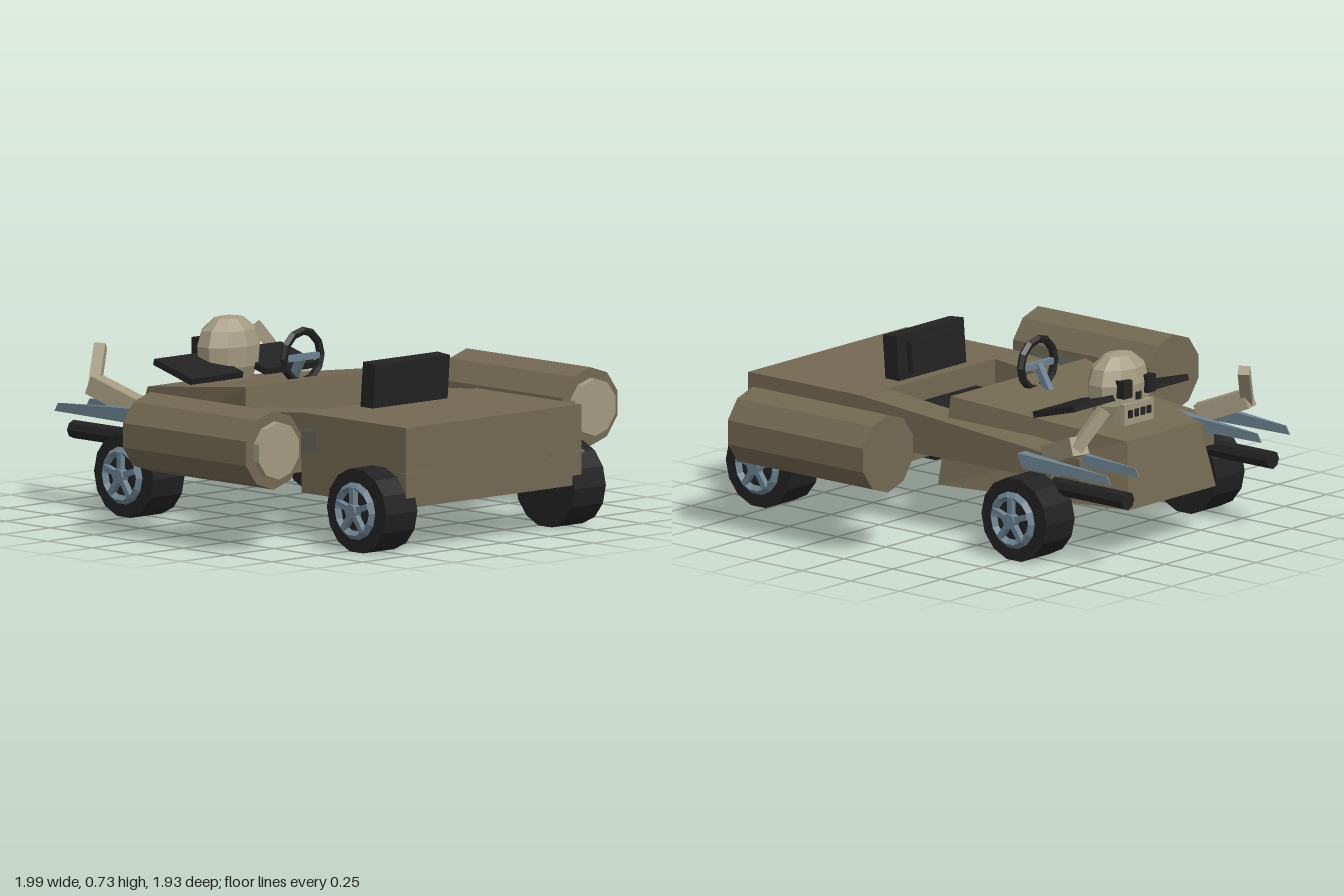
import * as THREE from 'three';

const mat = (name, color) => {
  const m = new THREE.MeshStandardMaterial({ color });
  m.name = name;
  return m;
};

export function createModel() {
  const root = new THREE.Group();
  root.name = 'kart';
  const body = mat('khaki', 0x736952);
  const bone = mat('bone', 0xa39a80);
  const black = mat('black', 0x222222);
  const steel = mat('blue steel', 0x6b8290);
  const olive = mat('dark olive', 0x4b4c42);

  // Faceted mesh
  const add = (name, geo, material, pos = [0, 0, 0], parent = root) => {
    const g = geo.index ? geo.toNonIndexed() : geo;
    g.computeVertexNormals();
    const m = new THREE.Mesh(g, material);
    m.name = name;
    m.position.set(...pos);
    parent.add(m);
    return m;
  };
  // Box given by its limits
  const block = (name, material, x0, x1, y0, y1, z0, z1, parent = root) =>
    add(name, new THREE.BoxGeometry(x1 - x0, y1 - y0, z1 - z0), material,
      [(x0 + x1) / 2, (y0 + y1) / 2, (z0 + z1) / 2], parent);
  // Box whose corners are placed by a rule of (right, top, front)
  const hexa = (name, material, rule) => {
    const g = new THREE.BoxGeometry(1, 1, 1), p = g.attributes.position;
    for (let i = 0; i < p.count; i++)
      p.setXYZ(i, ...rule(p.getX(i) > 0, p.getY(i) > 0, p.getZ(i) > 0));
    return add(name, g, material);
  };
  // Square bar between two points
  const strut = (name, material, a, b, w, h = w) => {
    const A = new THREE.Vector3(...a), B = new THREE.Vector3(...b);
    const m = add(name, new THREE.BoxGeometry(w, h, A.distanceTo(B)), material);
    m.position.copy(A).add(B).multiplyScalar(0.5);
    m.lookAt(B);
    return m;
  };
  const cylZ = (r, len, n) => new THREE.CylinderGeometry(r, r, len, n).rotateX(Math.PI / 2);

  // Rear engine body and tapering nose hull
  block('rearBody', body, -0.47, 0.47, 0.18, 0.495, 0.36, 0.95);
  hexa('noseHull', body, (r, t, f) => {
    const half = t ? (f ? 0.4 : 0.215) : (f ? 0.43 : 0.26);
    const y = t ? (f ? 0.545 : 0.45) : 0.19;
    const z = f ? (t ? -0.03 : 0.01) : (t ? -0.775 : -0.82);
    return [r ? half : -half, y, z];
  });

  // Seat
  block('seat', black, -0.2, 0.2, 0.32, 0.41, 0.05, 0.37);
  const back = block('seatBack', black, -0.2, 0.2, 0.48, 0.67, 0.415, 0.485);
  back.rotation.x = 0.08;
  const pad = block('seatPad', black, -0.145, 0.145, 0.52, 0.645, 0.39, 0.42);
  pad.rotation.x = 0.08;

  // Steering wheel
  add('steeringRing', new THREE.TorusGeometry(0.1, 0.017, 5, 12), black, [0, 0.615, -0.13]);
  block('steeringBar', steel, -0.09, 0.09, 0.6, 0.625, -0.14, -0.12);
  strut('steeringColumn', steel, [0, 0.615, -0.13], [0, 0.5, -0.2], 0.028);

  // Skull on the nose
  const profile = [[0, 0.47], [0.075, 0.48], [0.1, 0.54], [0.105, 0.62], [0.09, 0.68], [0.048, 0.725], [0, 0.735]];
  const skull = add('skull', new THREE.LatheGeometry(
    profile.map(([r, y]) => new THREE.Vector2(r, y)), 10).scale(1.38, 1, 1), bone, [0, 0, -0.545]);
  skull.name = 'skull';
  block('jaw', bone, -0.085, 0.085, 0.46, 0.55, -0.65, -0.56);
  for (let i = 0; i < 4; i++) {
    const x = -0.054 + i * 0.036;
    block('toothGap', black, x - 0.01, x + 0.01, 0.495, 0.525, -0.658, -0.64);
  }
  block('noseHole', black, -0.014, 0.014, 0.56, 0.59, -0.652, -0.62);

  for (const s of [-1, 1]) {
    const side = (a, b) => (s > 0 ? [a, b] : [-b, -a]);

    // Side rail, sloping down toward the nose
    hexa('sideRail', body, (r, t, f) => {
      const outer = r === s > 0;
      return [s * (outer ? (f ? 0.47 : 0.45) : 0.315),
        t ? (f ? 0.494 : 0.41) : 0.31, f ? 0.37 : -0.59];
    });
    block('bladeMount', body, ...side(0.32, 0.4), 0.31, 0.4, -0.69, -0.55);
    block('cornerTrim', body, ...side(0.3, 0.478), 0.305, 0.317, 0.9, 0.957);

    // Side tank with end cap and arm
    add('sideTank', cylZ(0.155, 0.695, 10), body, [s * 0.848, 0.41, 0.253]);
    add('tankCap', cylZ(0.113, 0.03, 10), bone, [s * 0.848, 0.41, 0.615]);
    block('tankArm', olive, ...side(0.5, 0.72), 0.36, 0.44, 0.125, 0.475);

    // Skull eye and tilted dark wing
    block('eye', black, ...side(0.045, 0.095), 0.575, 0.645, -0.655, -0.6);
    strut('noseWing', black, [s * 0.2, 0.52, -0.4], [s * 0.2, 0.577, -0.61], 0.28, 0.025);

    // Bone arm
    strut('upperArm', bone, [s * 0.445, 0.41, -0.58], [s * 0.505, 0.49, -0.78], 0.075);
    strut('forearm', bone, [s * 0.51, 0.475, -0.765], [s * 0.415, 0.625, -0.83], 0.045);

    // Ram pipe between two pointed blades
    add('pipe', cylZ(0.036, 0.42, 8), black, [s * 0.43, 0.285, -0.756]);
    for (const x of [0.363, 0.532])
      hexa('blade', steel, (r, t, f) => [
        s * x + (r ? 1 : -1) * (f ? 0.024 : 0.002),
        t ? (f ? 0.425 : 0.4) : 0.367,
        f ? (t ? -0.505 : -0.53) : (t ? -0.945 : -0.965)]);

    // Wheels with a five-spoke rim
    for (const z of [0.795, -0.517]) {
      const wheel = new THREE.Group();
      wheel.name = z > 0 ? 'rearWheel' : 'noseWheel';
      wheel.position.set(s * 0.505, 0.166, z);
      root.add(wheel);
      add('tyre', new THREE.CylinderGeometry(0.167, 0.167, 0.168, 14).rotateZ(Math.PI / 2), black, [0, 0, 0], wheel);
      add('rim', new THREE.TorusGeometry(0.096, 0.018, 4, 14).rotateY(Math.PI / 2), steel, [s * 0.092, 0, 0], wheel);
      add('hub', new THREE.CylinderGeometry(0.03, 0.03, 0.04, 8).rotateZ(Math.PI / 2), steel, [s * 0.1, 0, 0], wheel);
      for (let i = 0; i < 5; i++) {
        const spoke = add('spoke', new THREE.BoxGeometry(0.025, 0.085, 0.022).translate(0, 0.05, 0), steel, [s * 0.1, 0, 0], wheel);
        spoke.rotation.x = (i * 2 * Math.PI) / 5;
      }
    }
  }
  return root;
}
